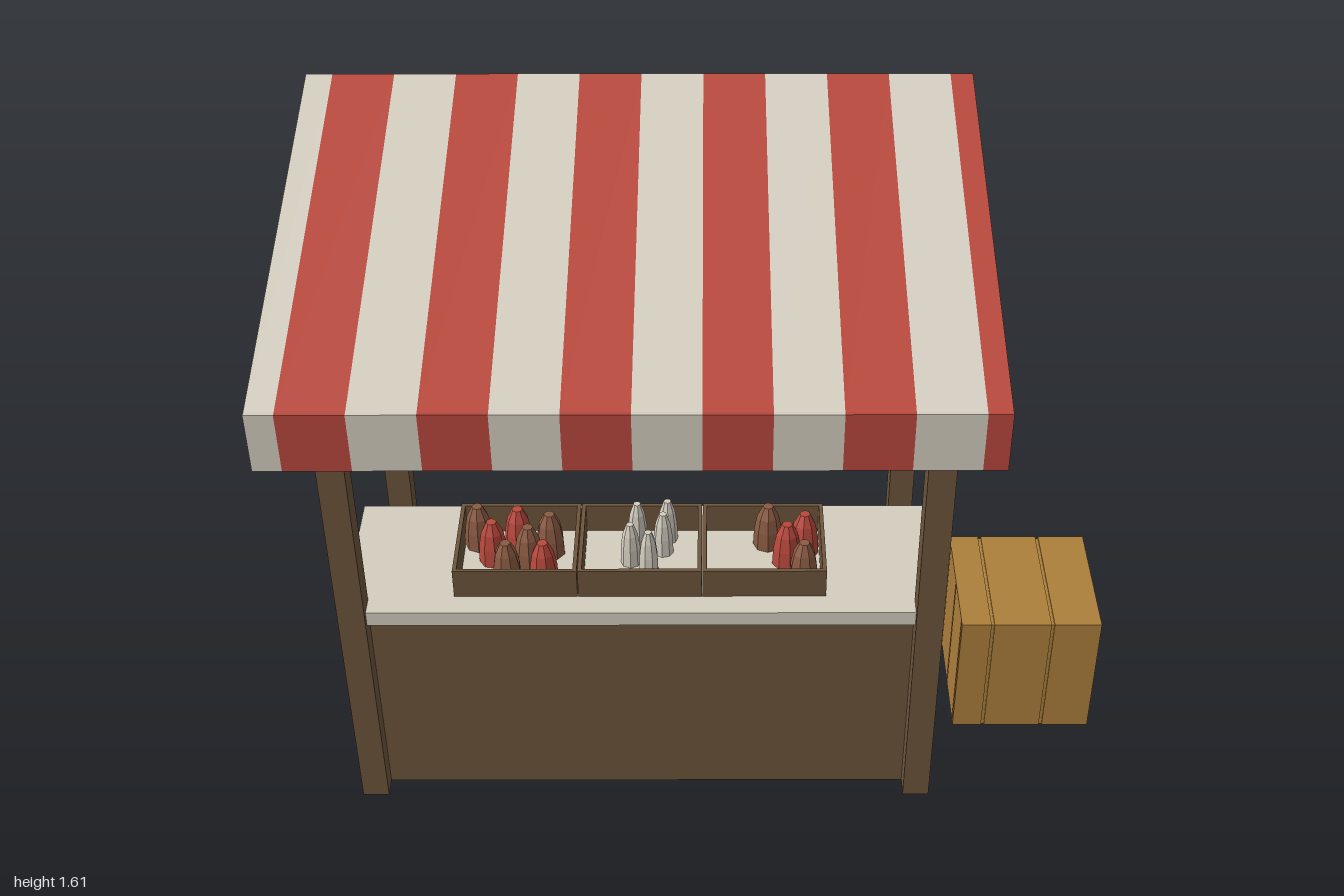
import * as THREE from 'three';

const mat = (name, color, extra = {}) => {
  const m = new THREE.MeshStandardMaterial({ color, ...extra });
  m.name = name;
  return m;
};

export function createModel() {
  const model = new THREE.Group();
  model.name = 'marketStall';
  const wood = mat('darkWood', 0x6e553c);
  const crateWood = mat('crateWood', 0xac7f3b);
  const white = mat('offWhite', 0xd4cec0, { side: THREE.DoubleSide });
  const red = mat('red', 0xb8483c, { side: THREE.DoubleSide });
  const russet = mat('russet', 0x8a5a42);

  const group = (name) => {
    const g = new THREE.Group();
    g.name = name;
    model.add(g);
    return g;
  };
  const add = (parent, name, geometry, material) => {
    const m = new THREE.Mesh(geometry, material);
    m.name = name;
    parent.add(m);
    return m;
  };
  // Box given by its minimum and maximum on each axis
  const box = (parent, name, material, x0, x1, y0, y1, z0, z1) => {
    const m = add(parent, name, new THREE.BoxGeometry(x1 - x0, y1 - y0, z1 - z0), material);
    m.position.set((x0 + x1) / 2, (y0 + y1) / 2, (z0 + z1) / 2);
    return m;
  };
  // Four upright walls, open above and below
  const walls = (parent, name, material, x0, x1, y0, y1, z0, z1, t) => {
    box(parent, name + 'Front', material, x0, x1, y0, y1, z1 - t, z1);
    box(parent, name + 'Back', material, x0, x1, y0, y1, z0, z0 + t);
    box(parent, name + 'Right', material, x0, x0 + t, y0, y1, z0 + t, z1 - t);
    box(parent, name + 'Left', material, x1 - t, x1, y0, y1, z0 + t, z1 - t);
  };

  // Posts: short pair in front, tall pair behind
  const posts = group('posts');
  for (const x of [-0.91, 0.483]) {
    box(posts, 'frontPost', wood, x, x + 0.066, 0, 1.33, 0.28, 0.346);
    box(posts, 'backPost', wood, x, x + 0.066, 0, 1.575, -0.51, -0.444);
  }

  // Counter
  const counter = group('counter');
  walls(counter, 'counterPanel', wood, -0.88, 0.518, 0, 0.575, -0.045, 0.295, 0.006);
  box(counter, 'countertop', white, -0.9, 0.54, 0.575, 0.615, -0.08, 0.33);

  // Striped awning: a sloping sheet with a hanging valance
  const awning = group('awning');
  const backZ = -0.535, frontZ = 0.525, backY = 1.605, frontY = 1.36;
  const run = frontZ - backZ, drop = backY - frontY;
  const edges = [-1];
  for (let i = 0; i < 11; i++) edges.push(-0.935 + i * 0.151);
  edges.push(0.63);
  for (let i = 0; i < edges.length - 1; i++) {
    const x0 = edges[i], x1 = edges[i + 1], m = i % 2 ? red : white;
    const sheet = add(awning, 'awningStripe', new THREE.PlaneGeometry(x1 - x0, Math.hypot(run, drop)), m);
    sheet.rotation.x = -Math.PI / 2 + Math.atan2(drop, run);
    sheet.position.set((x0 + x1) / 2, (backY + frontY) / 2, (backZ + frontZ) / 2);
    box(awning, 'valanceStripe', m, x0, x1, 1.21, frontY, 0.515, 0.535);
  }

  // Bottomless trays on the countertop
  const trays = group('trays');
  for (const x of [-0.636, -0.334, -0.032]) {
    walls(trays, 'trayWall', wood, x, x + 0.3, 0.615, 0.695, 0.01, 0.27, 0.01);
  }

  // Tapered produce standing in the trays
  const produce = group('produce');
  const profile = [[0.036, 0], [0.034, 0.05], [0.027, 0.09], [0.013, 0.12], [0, 0.12]]
    .map(([r, y]) => new THREE.Vector2(r, y));
  const fruit = new THREE.LatheGeometry(profile, 8).toNonIndexed();
  fruit.computeVertexNormals();
  const fill = (name, mats, scale, spots) => spots.forEach(([x, z], i) => {
    const m = add(produce, name, fruit, mats[i % mats.length]);
    m.position.set(x, 0.615, z);
    m.scale.set(scale, 1, scale);
    m.rotation.y = i;
  });
  fill('redProduce', [russet, red], 1, [
    [-0.59, 0.07], [-0.55, 0.13], [-0.51, 0.21], [-0.49, 0.08],
    [-0.46, 0.15], [-0.42, 0.21], [-0.41, 0.1],
  ]);
  fill('whiteProduce', [white], 0.7, [[-0.21, 0.14], [-0.195, 0.06], [-0.165, 0.17], [-0.13, 0.1], [-0.12, 0.05]]);
  fill('redProduce', [russet, red], 1, [[0.13, 0.07], [0.175, 0.14], [0.215, 0.21], [0.22, 0.1]]);

  // Crate: a core clad in planks with narrow grooves between them
  const crate = group('crate');
  const t = 0.004;
  box(crate, 'crateCore', crateWood, 0.635 + t, 0.995 - t, 0, 0.36 - t, -0.26 + t, 0.095 - t);
  const xCuts = [0.635, 0.715, 0.87, 0.995], zCuts = [-0.26, -0.225, -0.072, 0.078, 0.095];
  const g = 0.004;
  for (let i = 0; i < xCuts.length - 1; i++) {
    const a = xCuts[i] + (i ? g : 0), b = xCuts[i + 1] - (i < 2 ? g : 0);
    box(crate, 'frontPlank', crateWood, a, b, 0, 0.36, 0.095 - t, 0.095);
    box(crate, 'backPlank', crateWood, a, b, 0, 0.36, -0.26, -0.26 + t);
    box(crate, 'topPlank', crateWood, a, b, 0.36 - t, 0.36, -0.26 + t, 0.095 - t);
  }
  for (let i = 0; i < zCuts.length - 1; i++) {
    const a = zCuts[i] + (i ? g : t), b = zCuts[i + 1] - (i < 3 ? g : t);
    box(crate, 'leftPlank', crateWood, 0.995 - t, 0.995, 0, 0.36 - t, a, b);
    box(crate, 'rightPlank', crateWood, 0.635, 0.635 + t, 0, 0.36 - t, a, b);
  }
  return model;
}
